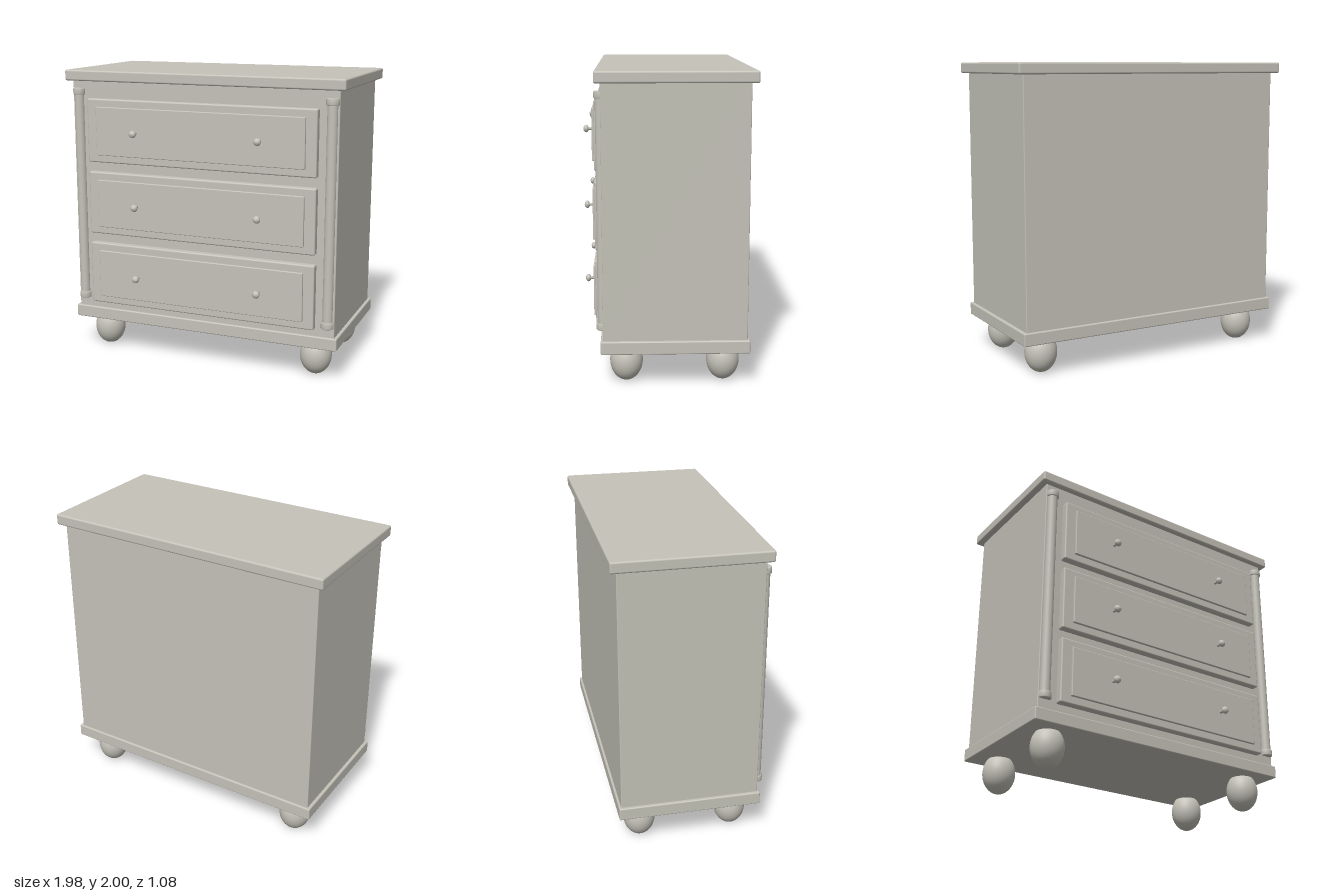
import * as THREE from 'three';
import { RoundedBoxGeometry } from 'three/addons/geometries/RoundedBoxGeometry.js';

export function createModel() {
  const root = new THREE.Group();
  root.name = 'chestOfDrawers';
  const paint = new THREE.MeshStandardMaterial({ color: 0xc4c2b8 });
  paint.name = 'stone grey paint';

  function add(parent, name, geometry, x = 0, y = 0, z = 0) {
    const mesh = new THREE.Mesh(geometry, paint);
    mesh.name = name;
    mesh.position.set(x, y, z);
    parent.add(mesh);
    return mesh;
  }

  // Box with softened edges, given by its half width and its y and z ranges
  function slab(parent, name, halfX, y0, y1, z0, z1, radius) {
    const geometry = new RoundedBoxGeometry(halfX * 2, y1 - y0, z1 - z0, 3, radius);
    return add(parent, name, geometry, 0, (y0 + y1) / 2, (z0 + z1) / 2);
  }

  // Carcass
  slab(root, 'top', 0.99, 1.927, 2, -0.54, 0.45, 0.012);
  slab(root, 'body', 0.947, 0.29, 1.94, -0.498, 0.412, 0.006);
  slab(root, 'plinth', 0.968, 0.23, 0.315, -0.513, 0.428, 0.008);

  // Drawers, each with a raised panel and two knobs
  const knobProfile = [
    [0, 0], [0.009, 0], [0.009, 0.034], [0.017, 0.036], [0.024, 0.043],
    [0.025, 0.049], [0.022, 0.058], [0.014, 0.065], [0, 0.068],
  ].map(([r, h]) => new THREE.Vector2(r, h));
  const knobGeometry = new THREE.LatheGeometry(knobProfile, 24).rotateX(Math.PI / 2);
  for (const y of [1.593, 1.089, 0.585]) {
    const drawer = new THREE.Group();
    drawer.name = 'drawer';
    root.add(drawer);
    slab(drawer, 'drawerFront', 0.817, y - 0.218, y + 0.218, 0.39, 0.459, 0.01);
    slab(drawer, 'drawerPanel', 0.744, y - 0.166, y + 0.166, 0.44, 0.474, 0.005);
    for (const side of [-1, 1]) add(drawer, 'knob', knobGeometry, side * 0.442, y, 0.472);
  }

  // Half columns set into the front corners, with a collar at each end
  const shaft = new THREE.CylinderGeometry(0.034, 0.034, 1.46, 32);
  const collarProfile = [
    [0, -0.022], [0.038, -0.022], [0.043, -0.017], [0.043, 0.017], [0.038, 0.022], [0, 0.022],
  ].map(([r, h]) => new THREE.Vector2(r, h));
  const collar = new THREE.LatheGeometry(collarProfile, 32);
  for (const side of [-1, 1]) {
    const column = new THREE.Group();
    column.name = side > 0 ? 'leftColumn' : 'rightColumn';
    column.position.set(side * 0.9, 0, 0.411);
    root.add(column);
    add(column, 'shaft', shaft, 0, 1.128, 0);
    add(column, 'upperCollar', collar, 0, 1.855, 0);
    add(column, 'lowerCollar', collar, 0, 0.401, 0);
  }

  // Egg-shaped bun feet, tops sunk into the plinth
  const foot = new THREE.SphereGeometry(1, 40, 28).scale(0.108, 0.136, 0.106);
  for (const x of [-0.785, 0.785]) {
    for (const z of [0.268, -0.354]) add(root, 'foot', foot, x, 0.136, z);
  }

  return root;
}
